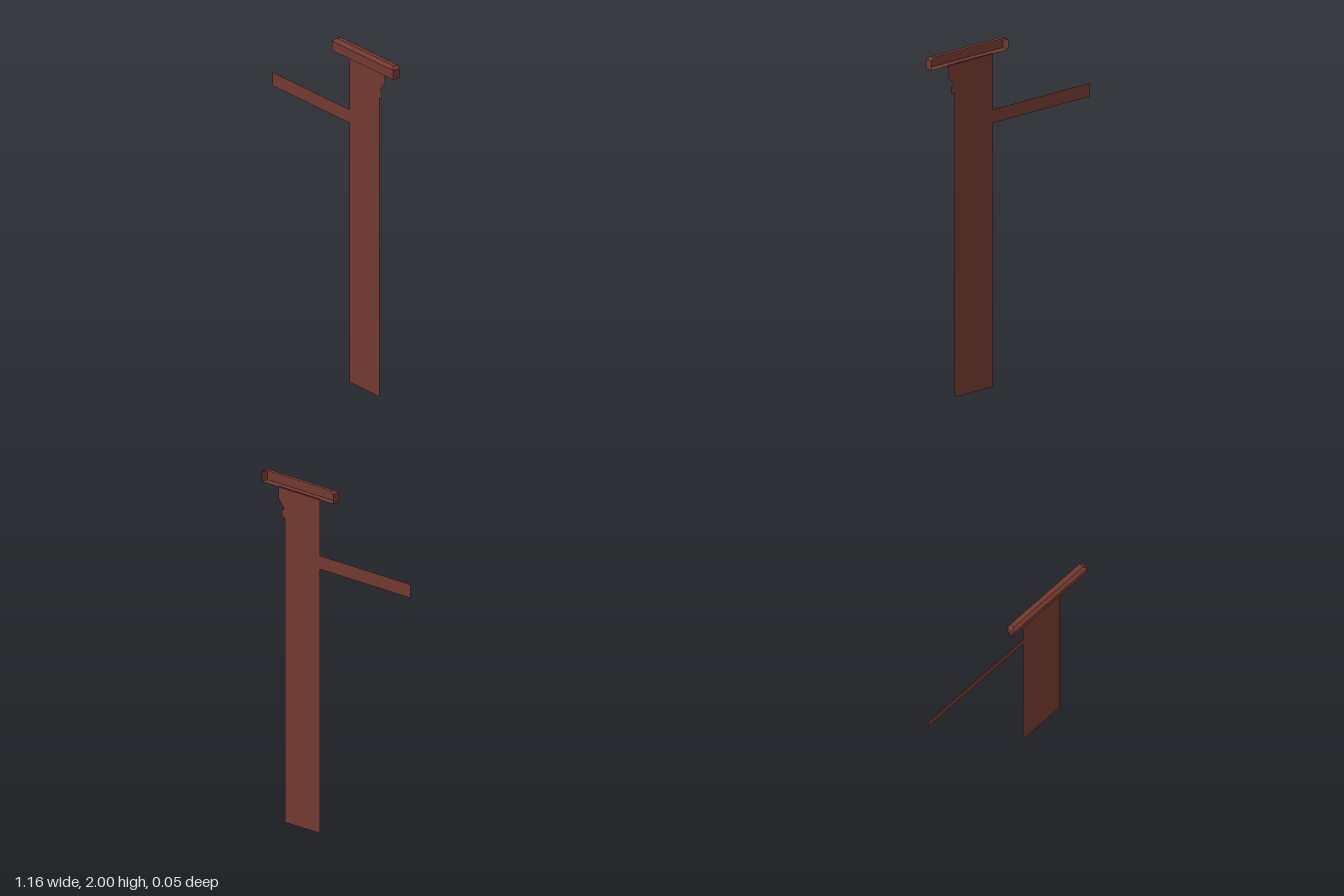
import * as THREE from 'three';

const PLANE_Z = -0.016;

export function createModel() {
  const model = new THREE.Group();
  model.name = 'signPost';
  const paint = new THREE.MeshStandardMaterial({ color: 0x703830, side: THREE.DoubleSide });
  paint.name = 'red brown paint';

  // Flat sheet cut to an outline in the post's plane
  function sheet(name, points) {
    const shape = new THREE.Shape(points.map(([x, y]) => new THREE.Vector2(x, y)));
    const mesh = new THREE.Mesh(new THREE.ShapeGeometry(shape), paint);
    mesh.name = name;
    mesh.position.z = PLANE_Z;
    model.add(mesh);
  }

  sheet('post', [[0.13, 0], [0.405, 0], [0.405, 1.93], [0.13, 1.93]]);
  sheet('arm', [[-0.58, 1.525], [0.13, 1.525], [0.13, 1.603], [-0.58, 1.603]]);
  sheet('bracket', [[0.405, 1.8], [0.455, 1.86], [0.455, 1.93], [0.405, 1.93]]);
  sheet('bracketFoot', [[0.405, 1.757], [0.428, 1.757], [0.428, 1.803], [0.405, 1.803]]);

  // Cap: a hollow trough with bevelled top edges, open at the back
  const L = 0.02, R = 0.58, B = 0.02; // ends and bevel width
  const F = 0.023, K = -0.023; // front and back
  const low = 1.928, eave = 1.983, top = 2;
  const cap = new THREE.Group();
  cap.name = 'cap';
  model.add(cap);

  function panel(name, corners) {
    const tris = [];
    for (let i = 1; i < corners.length - 1; i++) {
      tris.push(...corners[0], ...corners[i], ...corners[i + 1]);
    }
    const geometry = new THREE.BufferGeometry();
    geometry.setAttribute('position', new THREE.Float32BufferAttribute(tris, 3));
    geometry.computeVertexNormals();
    const mesh = new THREE.Mesh(geometry, paint);
    mesh.name = name;
    cap.add(mesh);
  }

  panel('capFront', [[L, low, F], [R, low, F], [R, eave, F], [L, eave, F]]);
  panel('capFrontBevel', [[L, eave, F], [R, eave, F], [R - B, top, F - B], [L + B, top, F - B]]);
  panel('capTop', [[L + B, top, F - B], [R - B, top, F - B], [R - B, top, K], [L + B, top, K]]);
  panel('capFloor', [[L, low, K], [R, low, K], [R, low, F], [L, low, F]]);

  // Cap ends, mirrored; the left one is wound the other way
  for (const [side, x, inner] of [['Left', R, R - B], ['Right', L, L + B]]) {
    const end = [[x, low, F], [x, low, K], [x, eave, K], [x, eave, F]];
    const bevel = [[x, eave, F], [x, eave, K], [inner, top, K], [inner, top, F - B]];
    const flip = side === 'Right';
    panel('capEnd' + side, flip ? end.reverse() : end);
    panel('capEndBevel' + side, flip ? bevel.reverse() : bevel);
  }
  return model;
}
